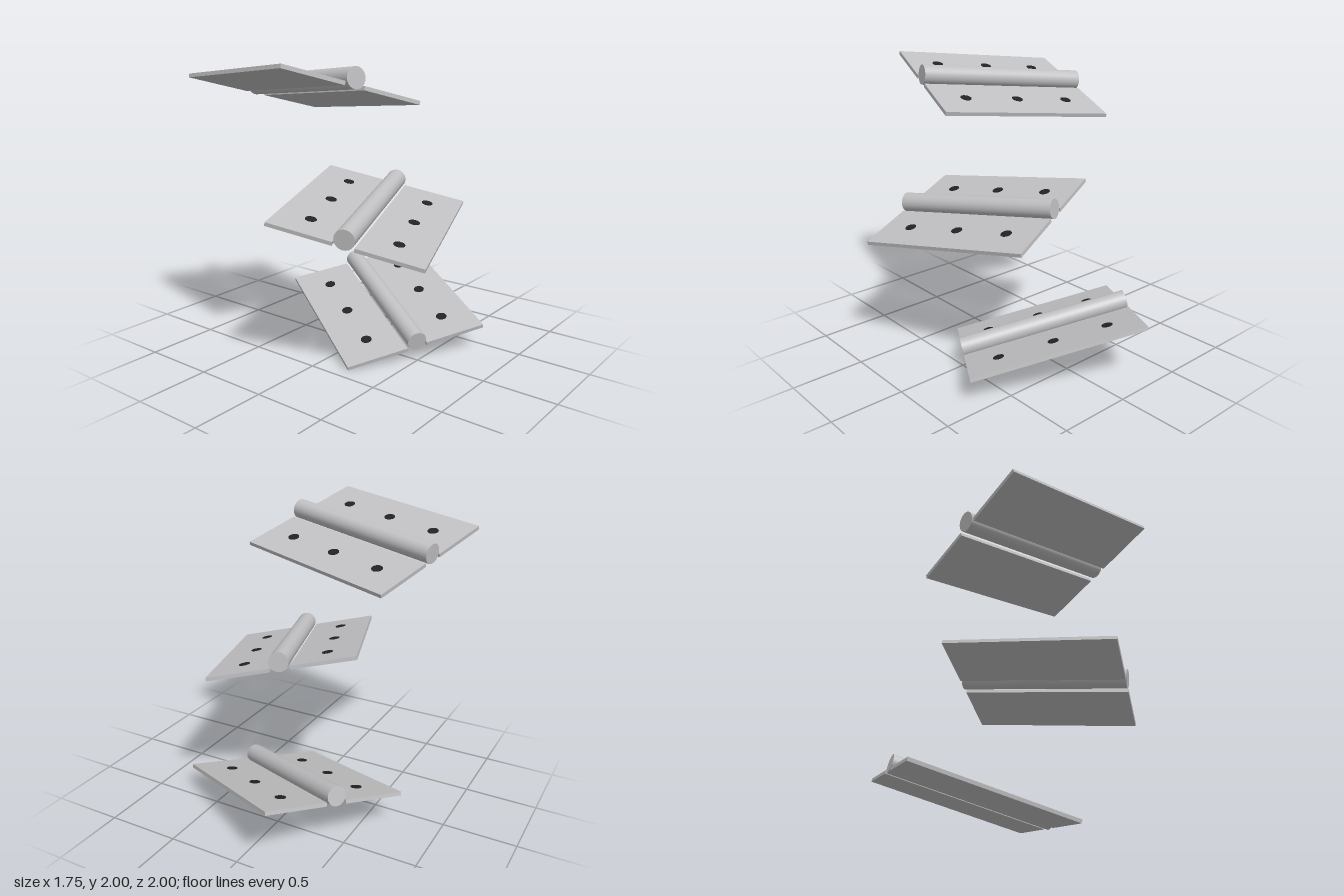
import * as THREE from 'three';

const LENGTH = 1.167, LEAF_WIDTH = 0.43, LEAF_OFFSET = 0.285, THICKNESS = 0.025;
const BARREL_RADIUS = 0.066, BARREL_LIFT = 0.046;
const HOLE_RADIUS = 0.037, HOLE_SPACING = 0.37, HOLE_DEPTH = 0.006;

const steel = new THREE.MeshStandardMaterial({ color: 0xc0c0c2 });
steel.name = 'steel';
const dark = new THREE.MeshStandardMaterial({ color: 0x222222 });
dark.name = 'dark hole';

function part(name, geometry, material, x, y, z) {
  const mesh = new THREE.Mesh(geometry, material);
  mesh.name = name;
  mesh.position.set(x, y, z);
  return mesh;
}

// One open hinge: barrel along x, leaves spread along z, screw holes on top
function makeHinge(name) {
  const hinge = new THREE.Group();
  hinge.name = name;
  const leaf = new THREE.BoxGeometry(LENGTH, THICKNESS, LEAF_WIDTH);
  const hole = new THREE.CylinderGeometry(HOLE_RADIUS, HOLE_RADIUS, HOLE_DEPTH, 20);
  const barrel = new THREE.CylinderGeometry(BARREL_RADIUS, BARREL_RADIUS, LENGTH, 40);
  barrel.rotateZ(Math.PI / 2);
  hinge.add(part('barrel', barrel, steel, 0, BARREL_LIFT, 0));
  for (const side of [-1, 1]) {
    const z = side * LEAF_OFFSET;
    hinge.add(part('leaf', leaf, steel, 0, 0, z));
    for (const i of [-1, 0, 1]) {
      hinge.add(part('screwHole', hole, dark, i * HOLE_SPACING, THICKNESS / 2, z));
    }
  }
  return hinge;
}

// Position of each hinge, direction of its barrel, direction across its leaves
const placements = [
  { name: 'lowerHinge', at: [0.005, 0.22, -0.293], along: [0.843, -0.216, 0.498], across: [-0.52, -0.165, 0.834] },
  { name: 'middleHinge', at: [0.223, 1.013, 0.149], along: [0.338, -0.118, 0.934], across: [-0.905, 0.203, 0.36] },
  { name: 'upperHinge', at: [-0.173, 1.804, 0.376], along: [0.957, 0.1, 0.267], across: [-0.286, 0.256, 0.923] },
];

export function createModel() {
  const model = new THREE.Group();
  model.name = 'hinges';
  for (const { name, at, along, across } of placements) {
    const hinge = makeHinge(name);
    const a = new THREE.Vector3(...along).normalize();
    const up = new THREE.Vector3(...across).cross(a).normalize();
    const w = new THREE.Vector3().crossVectors(a, up);
    hinge.quaternion.setFromRotationMatrix(new THREE.Matrix4().makeBasis(a, up, w));
    hinge.position.set(...at);
    model.add(hinge);
  }
  return model;
}
